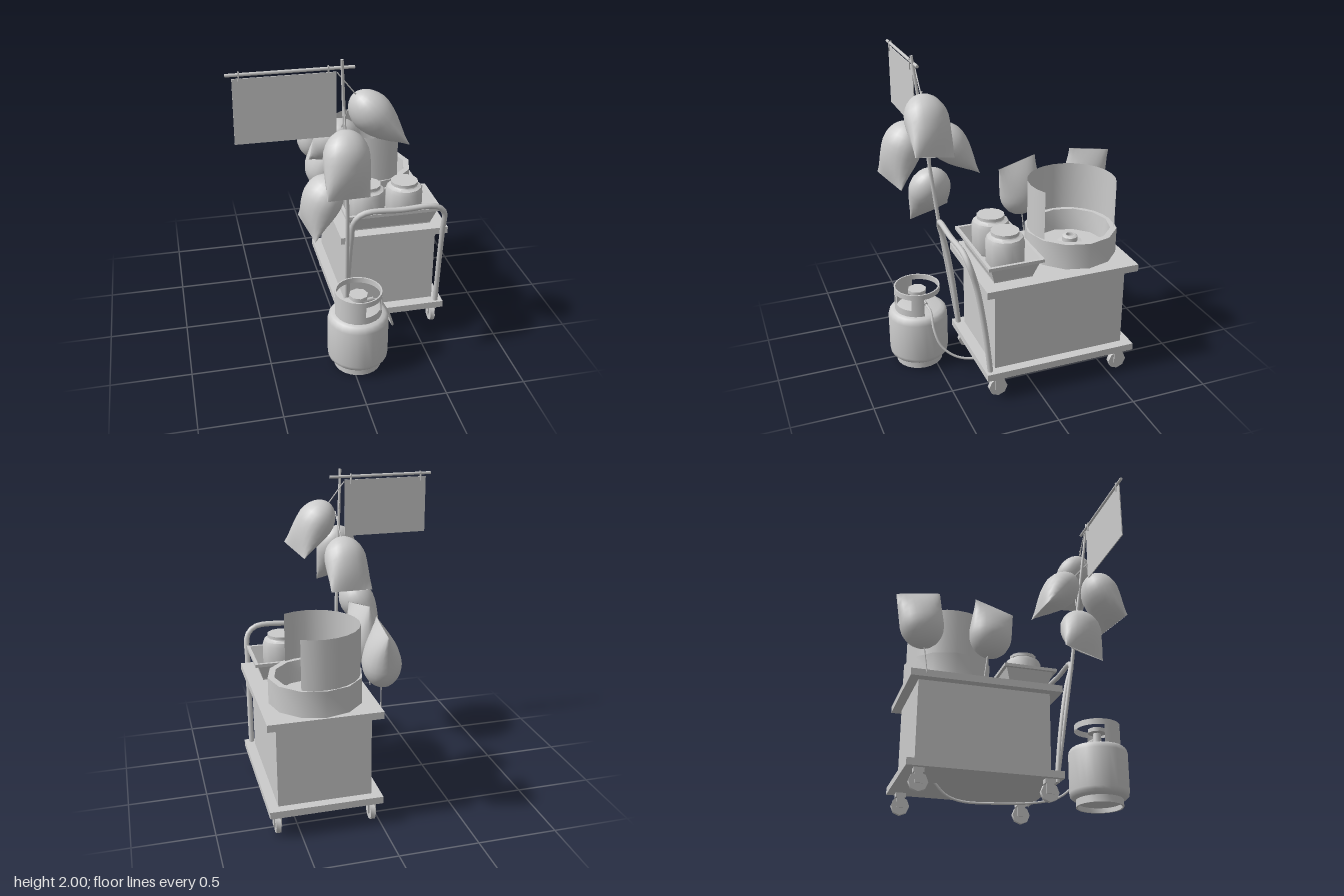
import * as THREE from 'three';
import { toCreasedNormals, mergeVertices } from 'three/addons/utils/BufferGeometryUtils.js';

const grey = new THREE.MeshStandardMaterial({ color: 0xcccccc });
const thin = new THREE.MeshStandardMaterial({ color: 0xcccccc, side: THREE.DoubleSide });
const V = (x, y, z) => new THREE.Vector3(x, y, z);

export function createModel() {
  const root = new THREE.Group();

  const add = (name, geo, x = 0, y = 0, z = 0, mat = grey, parent = root) => {
    const m = new THREE.Mesh(geo, mat);
    m.name = name;
    m.position.set(x, y, z);
    parent.add(m);
    return m;
  };
  const group = (name) => {
    const g = new THREE.Group();
    g.name = name;
    root.add(g);
    return g;
  };
  // box given by its limits
  const box = (name, x0, x1, y0, y1, z0, z1, parent) =>
    add(name, new THREE.BoxGeometry(x1 - x0, y1 - y0, z1 - z0),
      (x0 + x1) / 2, (y0 + y1) / 2, (z0 + z1) / 2, grey, parent);
  const lathe = (pts, seg) => toCreasedNormals(
    new THREE.LatheGeometry(pts.map(p => new THREE.Vector2(p[0], p[1])), seg), 0.9);
  // straight rod between two points
  const rod = (name, a, b, r0, r1 = r0, parent = root) => {
    const d = b.clone().sub(a);
    const m = add(name, new THREE.CylinderGeometry(r1, r0, d.length(), 8), 0, 0, 0, grey, parent);
    m.position.copy(a).addScaledVector(d, 0.5);
    m.quaternion.setFromUnitVectors(V(0, 1, 0), d.normalize());
    return m;
  };
  const tube = (name, pts, r, seg) => add(name,
    new THREE.TubeGeometry(new THREE.CatmullRomCurve3(pts.map(p => V(...p))), seg, r, 8));

  // Cart body with overhanging shelves
  box('cartTop', -0.01, 0.69, 0.72, 0.765, -0.655, 0.333);
  box('cartBody', 0.05, 0.63, 0.195, 0.72, -0.595, 0.265);
  box('cartBase', -0.01, 0.69, 0.15, 0.195, -0.655, 0.333);

  // Casters
  for (const x of [0.045, 0.635]) for (const z of [0.25, -0.57]) {
    const g = group('caster');
    const wheel = add('wheel', toCreasedNormals(new THREE.CylinderGeometry(0.06, 0.06, 0.03, 8), 0.9),
      x, 0.066, z, grey, g);
    wheel.rotation.z = Math.PI / 2;
    for (const s of [-1, 1])
      box('forkSide', x + s * 0.021 - 0.004, x + s * 0.021 + 0.004, 0.055, 0.13, z - 0.025, z + 0.025, g);
    box('forkTop', x - 0.025, x + 0.025, 0.122, 0.15, z - 0.033, z + 0.033, g);
  }

  // Push handle: one side of the path, mirrored about the cart's middle
  const half = [[-0.307, 0.13, 0.295], [-0.303, 0.5, 0.335], [-0.297, 0.78, 0.38],
    [-0.285, 0.93, 0.42], [-0.225, 0.983, 0.433]];
  const path = [...half, [0, 0.985, 0.438], ...half.map(p => [-p[0], p[1], p[2]]).reverse()];
  tube('pushHandle', path.map(p => [p[0] + 0.34, p[1], p[2]]), 0.018, 60);

  // Spinning drum, burner and curved wind shield
  const dx = 0.336, dz = -0.354;
  add('drum', lathe([[0.29, 0.765], [0.29, 0.93], [0.25, 0.93], [0.235, 0.79], [0, 0.79]], 12), dx, 0, dz);
  add('spinnerHead', lathe([[0.078, 0.79], [0.078, 0.82], [0.05, 0.825], [0.05, 0.855], [0.035, 0.865],
    [0.025, 0.865], [0.025, 0.84], [0, 0.84]], 12), dx, 0, dz);
  add('windShield', new THREE.CylinderGeometry(0.274, 0.274, 0.31, 16, 1, true, Math.PI * 5 / 6, Math.PI * 4 / 3),
    dx, 1.085, dz, thin);

  // Flared tray: a four-sided lathe whose radius encodes the inset from the rim
  const trayGeo = new THREE.LatheGeometry([[0.055, 0.768], [0.02, 0.875], [0, 0.875], [0, 0.895],
    [0.02, 0.895], [0.05, 0.78]].map(p => new THREE.Vector2(1 - p[0], p[1])), 4, Math.PI / 4);
  const tp = trayGeo.attributes.position;
  for (let i = 0; i < tp.count; i++) {
    const inset = 1 - Math.abs(tp.getX(i)) * Math.SQRT2;
    tp.setX(i, Math.sign(tp.getX(i)) * (0.311 - inset));
    tp.setZ(i, Math.sign(tp.getZ(i)) * (0.177 - inset));
  }
  add('tray', toCreasedNormals(trayGeo, 0.3), 0.338, 0, 0.132);
  box('trayFloor', 0.08, 0.596, 0.766, 0.782, 0.008, 0.256);

  // Sugar jars
  const jar = lathe([[0.11, 0.78], [0.12, 0.8], [0.12, 0.965], [0.11, 0.99], [0.085, 0.997], [0.08, 1.008],
    [0.088, 1.008], [0.088, 1.028], [0, 1.028]], 12);
  for (const x of [0.203, 0.45]) add('sugarJar', jar, x, 0, 0.132);

  // Gas bottle
  const gas = group('gasBottle');
  gas.position.set(0.045, 0, 0.58);
  add('bottleBody', lathe([[0, 0.03], [0.138, 0.03], [0.138, 0], [0.15, 0], [0.15, 0.045], [0.172, 0.055],
    [0.186, 0.07], [0.19, 0.09], [0.19, 0.335], [0.184, 0.36], [0.17, 0.374], [0.145, 0.382], [0, 0.39]], 24),
    0, 0, 0, grey, gas);
  const deg = Math.PI / 180;
  // collar pieces: lower y, upper y, start angle, sweep
  for (const [y0, y1, a, s] of [[0.5, 0.535, 0, 360], [0.38, 0.5, 60, 32], [0.38, 0.5, 268, 97], [0.38, 0.42, 5, 55]])
    for (const r of [0.147, 0.138])
      add('collar', new THREE.CylinderGeometry(r, r, y1 - y0, Math.ceil(s / 15), 1, true, a * deg, s * deg),
        0, (y0 + y1) / 2, 0, thin, gas);
  const rim = add('collarRim', new THREE.RingGeometry(0.138, 0.147, 24), 0, 0.535, 0, thin, gas);
  rim.rotation.x = -Math.PI / 2;
  add('valveStem', new THREE.CylinderGeometry(0.025, 0.032, 0.1, 10), 0, 0.43, 0, grey, gas);
  add('valveKnob', new THREE.CylinderGeometry(0.06, 0.06, 0.025, 8), 0, 0.495, 0, grey, gas);
  rod('valveOutlet', V(0, 0.445, 0), V(0.1, 0.438, -0.03), 0.016, 0.013, gas);

  // Hose running under the cart
  tube('gasHose', [[0.13, 0.44, 0.555], [0.19, 0.41, 0.535], [0.25, 0.31, 0.535], [0.29, 0.2, 0.5],
    [0.32, 0.12, 0.41], [0.333, 0.08, 0.27], [0.335, 0.055, 0.03], [0.335, 0.05, -0.24], [0.335, 0.085, -0.34],
    [0.335, 0.155, -0.41]], 0.008, 60);

  // Pole with hanging sign
  rod('pole', V(0.035, 0.15, 0.3), V(0.012, 0.95, 0.412), 0.014, 0.013);
  rod('pole', V(0.012, 0.95, 0.412), V(-0.055, 2, 0.527), 0.013, 0.009);
  rod('signBar', V(-0.69, 1.95, 0.513), V(0.02, 1.95, 0.513), 0.01);
  box('signPanel', -0.655, -0.082, 1.547, 1.928, 0.51, 0.516);
  for (const x of [-0.617, -0.127]) {
    box('signHook', x - 0.004, x + 0.004, 1.9, 1.965, 0.517, 0.524);
    box('signHook', x - 0.004, x + 0.004, 1.9, 1.965, 0.502, 0.509);
  }

  // Puffy bag: domed at the stick, flattening to a wide sealed edge
  const bagGeometry = (len) => {
    let g = new THREE.CylinderGeometry(1, 1, 1, 20, 12, true);
    const p = g.attributes.position;
    for (let i = 0; i < p.count; i++) {
      const t = 1 - Math.cos((p.getY(i) + 0.5) * Math.PI / 2);
      const k = 1 - Math.min(t / 0.42, 1);
      const dome = Math.sqrt(Math.max(0, 1 - k * k));
      const s = Math.max(0, (t - 0.3) / 0.7);
      p.setXYZ(i, p.getX(i) * 0.142 * dome, t * len, p.getZ(i) * (0.118 * dome * (1 - s * s) + 0.002 * s));
    }
    g.deleteAttribute('uv');
    g.deleteAttribute('normal');
    g = mergeVertices(g);
    g.computeVertexNormals();
    return g;
  };
  // stick end, middle of the sealed edge, direction of that edge, stick length
  const bags = [
    [V(0.03, 1.785, 0.5), V(0.275, 1.475, 0.495), V(0.09, 0.05, 0.26), 0.17],
    [V(-0.04, 1.6, 0.55), V(-0.048, 1.235, 0.7), V(-0.28, 0.035, 0.085), 0.2],
    [V(-0.03, 1.56, 0.42), V(-0.04, 1.26, 0.17), V(0.28, -0.03, -0.05), 0.2],
    [V(-0.08, 1.245, 0.43), V(-0.24, 0.905, 0.4), V(-0.055, 0.05, -0.265), 0.2],
    [V(-0.01, 0.91, -0.58), V(0.005, 1.29, -0.633), V(0.01, -0.04, -0.265), 0.17],
    [V(-0.04, 0.89, -0.18), V(0.0, 1.265, -0.125), V(0.06, -0.01, 0.25), 0.15],
  ];
  for (const [base, tip, seam, stick] of bags) {
    const g = group('candyFloss');
    const y = tip.clone().sub(base), len = y.length();
    y.normalize();
    const x = seam.clone().addScaledVector(y, -seam.dot(y)).normalize();
    g.setRotationFromMatrix(new THREE.Matrix4().makeBasis(x, y, x.clone().cross(y)));
    g.position.copy(base);
    add('bag', bagGeometry(len), 0, 0, 0, thin, g);
    rod('stick', V(0, -stick, 0), V(0, 0.05, 0), 0.004, 0.004, g);
  }
  return root;
}
